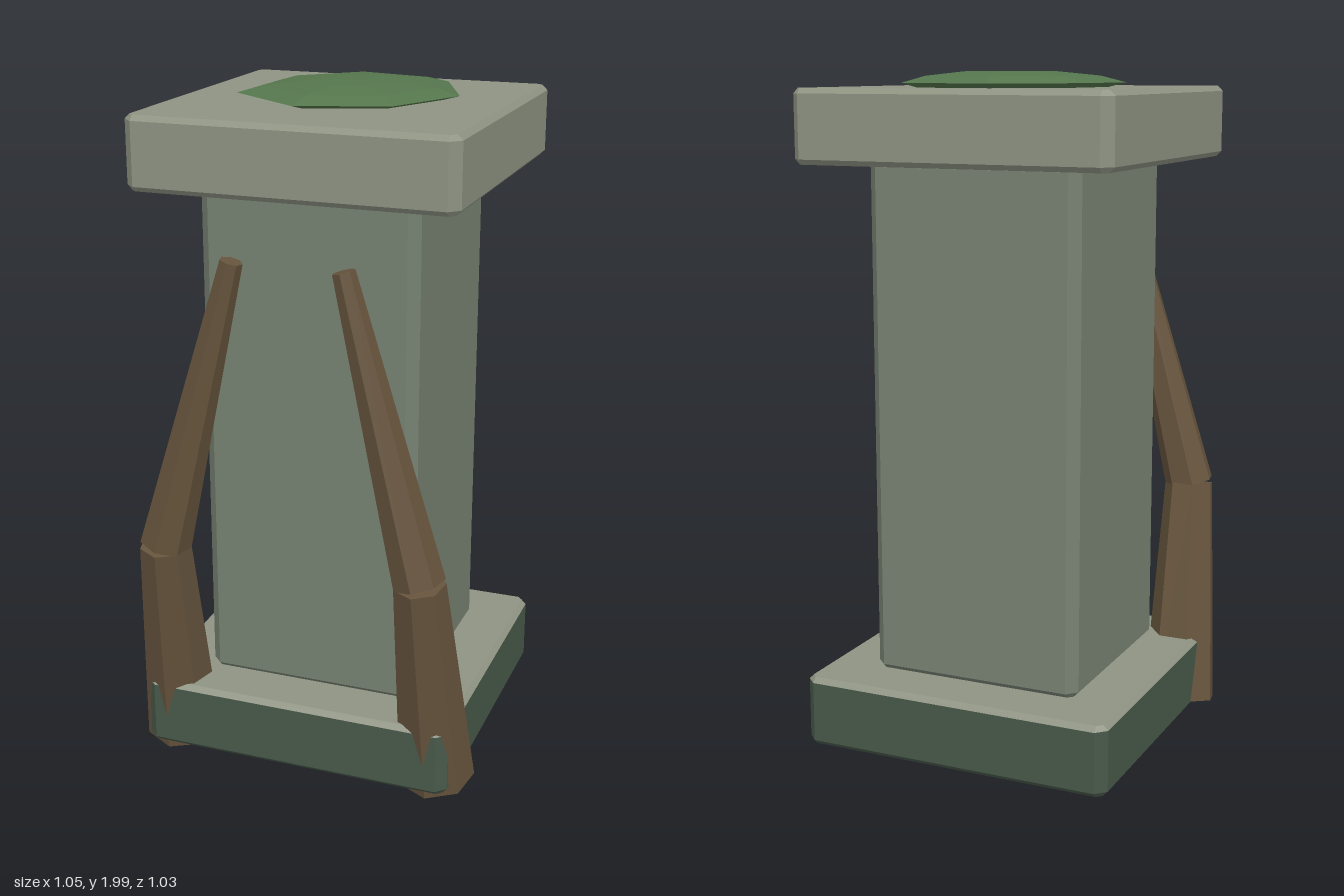
import * as THREE from 'three';
import { ConvexGeometry } from 'three/addons/geometries/ConvexGeometry.js';

const paint = (color) => new THREE.MeshStandardMaterial({ color, flatShading: true });
const V = (x, y, z) => new THREE.Vector3(x, y, z);

const BEVEL = 0.015; // bevel on the horizontal edges
const CHAMFER = 0.03; // chamfer on the vertical corners

// Square block with cut corners, hulled from [height, inset] sections
function block(half, sections) {
  const points = [];
  for (const [y, inset] of sections) {
    const a = half - inset, b = half - CHAMFER;
    for (const sx of [-1, 1]) for (const sz of [-1, 1]) {
      points.push(V(sx * a, y, sz * b), V(sx * b, y, sz * a));
    }
  }
  return new ConvexGeometry(points);
}

const bevelled = (half, y0, y1) =>
  block(half, [[y0, BEVEL], [y0 + BEVEL, 0], [y1 - BEVEL, 0], [y1, BEVEL]]);

// Tapered seven-sided limb between two points
function limb(from, to, r0, r1, material) {
  const axis = to.clone().sub(from);
  const mesh = new THREE.Mesh(new THREE.CylinderGeometry(r1, r0, axis.length(), 7), material);
  mesh.position.copy(from).add(to).multiplyScalar(0.5);
  mesh.quaternion.setFromUnitVectors(V(0, 1, 0), axis.normalize());
  return mesh;
}

// Low, irregular seven-sided mound
function mound() {
  const profile = [[0, 0], [0.85, 0], [1, 0.013], [0.78, 0.032], [0.42, 0.044], [0, 0.045]]
    .map(([x, y]) => new THREE.Vector2(x, y));
  const radii = [0.315, 0.334, 0.325, 0.31, 0.34, 0.33, 0.305];
  const geo = new THREE.LatheGeometry(profile, 7, THREE.MathUtils.degToRad(91));
  const pos = geo.attributes.position;
  for (let i = 0; i < pos.count; i++) {
    const r = radii[Math.floor(i / profile.length) % 7];
    pos.setX(i, pos.getX(i) * r);
    pos.setZ(i, pos.getZ(i) * r);
  }
  return geo;
}

export function createModel() {
  const model = new THREE.Group();
  model.name = 'pedestal';
  const bark = paint(0x65533c);
  const paleStone = paint(0x8e9382);

  const add = (name, geometry, material, z) => {
    const mesh = new THREE.Mesh(geometry, material);
    mesh.name = name;
    mesh.position.z = z;
    model.add(mesh);
    return mesh;
  };

  // Stone pillar: dark plinth with a pale top, shaft and capital
  add('plinth', block(0.478, [[0.03, BEVEL], [0.045, 0], [0.225, 0]]), paint(0x48594a), -0.04);
  add('plinthTop', block(0.478, [[0.225, 0], [0.24, BEVEL]]), paleStone, -0.04);
  add('shaft', bevelled(0.325, 0.24, 1.75), paint(0x778272), -0.037);
  add('capital', bevelled(0.478, 1.745, 1.955), paleStone, -0.04);

  // Moss on top
  add('moss', mound(), paint(0x55764d), -0.105).position.y = 1.955;

  // Bent roots leaning on the front corners
  for (const [side, name] of [[1, 'leftRoot'], [-1, 'rightRoot']]) {
    const root = new THREE.Group();
    root.name = name;
    const foot = V(side * 0.413, 0.028, 0.31);
    const knee = V(side * 0.39, 0.705, 0.437);
    const tip = V(side * 0.163, 1.575, 0.428);
    const lower = limb(foot, knee, 0.115, 0.077, bark);
    lower.name = 'lowerRoot';
    const upper = limb(knee, tip, 0.077, 0.033, bark);
    upper.name = 'upperRoot';
    root.add(lower, upper);
    model.add(root);
  }
  return model;
}
